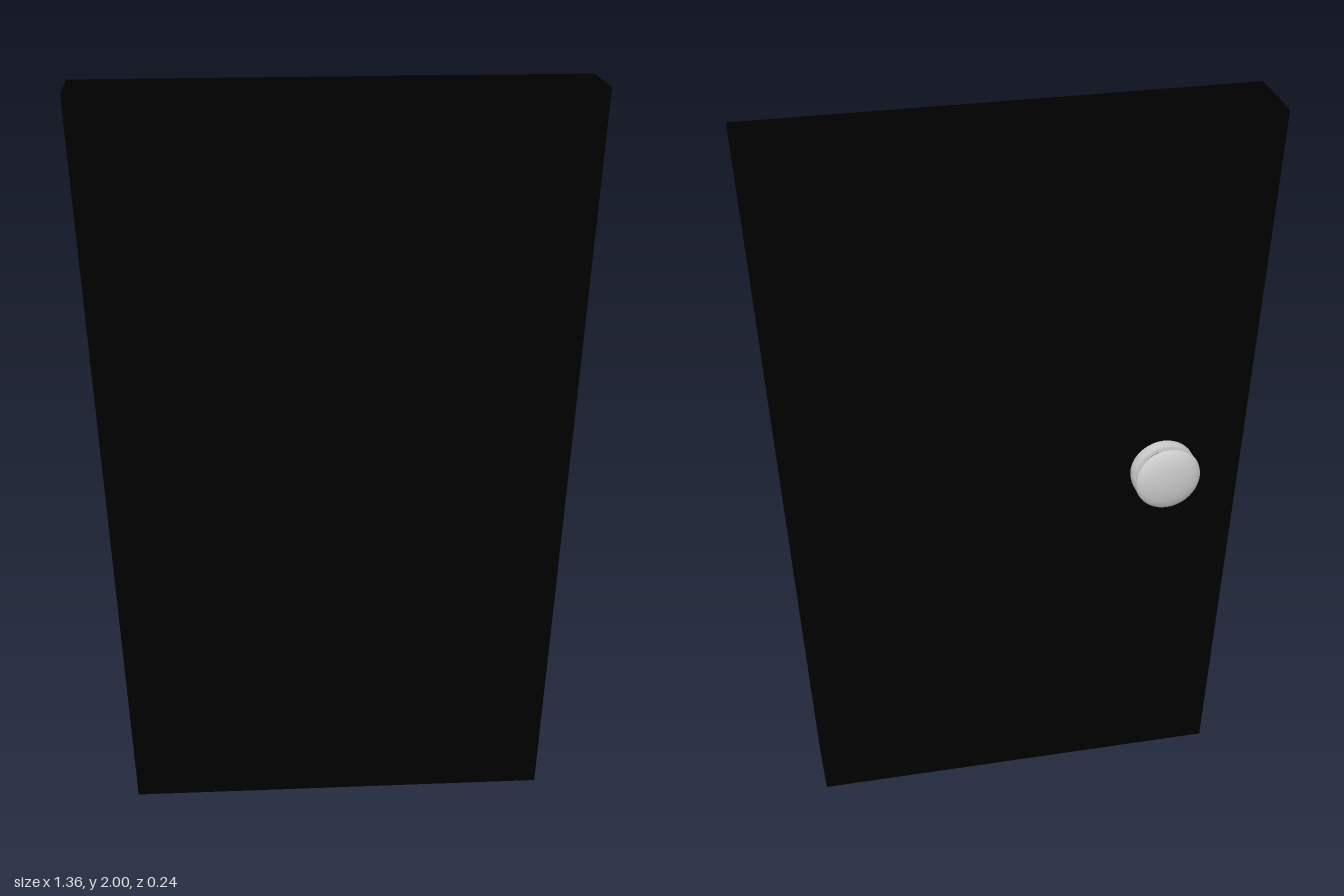
import * as THREE from 'three';

const HEIGHT = 2, WIDTH = 1.36, DEPTH = 0.205, RIM = 0.065, RECESS = 0.04;
const CENTER_Z = 0.0175;

// Narrows a geometry towards the floor, in width and depth alike
function taper(geometry) {
  const g = geometry.index ? geometry.toNonIndexed() : geometry;
  const p = g.attributes.position;
  for (let i = 0; i < p.count; i++) {
    const s = 0.84 + 0.16 * p.getY(i) / HEIGHT;
    p.setX(i, p.getX(i) * s);
    p.setZ(i, p.getZ(i) * s);
  }
  g.computeVertexNormals();
  return g;
}

function rectangle(PathType, x, y0, y1) {
  return new PathType([[-x, y0], [x, y0], [x, y1], [-x, y1]].map(([a, b]) => new THREE.Vector2(a, b)));
}

export function createModel() {
  const group = new THREE.Group();
  const black = new THREE.MeshStandardMaterial({ color: 0x000000 });
  const grey = new THREE.MeshStandardMaterial({ color: 0xcccccc });

  const add = (parent, name, geometry, material) => {
    const mesh = new THREE.Mesh(geometry, material);
    mesh.name = name;
    parent.add(mesh);
    return mesh;
  };

  // Solid slab, flush at the front
  const slab = new THREE.BoxGeometry(WIDTH, HEIGHT, DEPTH - RECESS);
  slab.translate(0, HEIGHT / 2, RECESS / 2);
  add(group, 'doorPanel', taper(slab), black).position.z = CENTER_Z;

  // Raised border around the recessed back
  const outline = rectangle(THREE.Shape, WIDTH / 2, 0, HEIGHT);
  outline.holes.push(rectangle(THREE.Path, WIDTH / 2 - RIM, RIM, HEIGHT - RIM));
  const border = new THREE.ExtrudeGeometry(outline, { depth: RECESS, bevelEnabled: false });
  border.translate(0, 0, -DEPTH / 2);
  add(group, 'backBorder', taper(border), black).position.z = CENTER_Z;

  // Knob: lathes turned so their axis points out of the back
  const knob = new THREE.Group();
  knob.name = 'doorKnob';
  knob.position.set(-0.415, 0.963, -0.035);
  knob.rotation.y = 0.05;
  group.add(knob);

  const lathe = (name, points, material) => {
    const g = new THREE.LatheGeometry(points.map(([r, h]) => new THREE.Vector2(r, h)), 40);
    g.rotateX(-Math.PI / 2);
    add(knob, name, g, material);
  };

  // Back plate, dark neck and domed cap
  lathe('knobPlate', [[0.088, -0.01], [0.092, 0.01], [0.092, 0.032], [0.088, 0.04], [0, 0.042]], grey);
  lathe('knobNeck', [[0.082, 0.035], [0.082, 0.056]], black);
  const cap = [[0, 0.05], [0.086, 0.05]];
  for (let i = 0; i <= 10; i++) {
    const a = i / 10 * Math.PI / 2;
    cap.push([0.093 * Math.cos(a), 0.055 + 0.03 * Math.sin(a)]);
  }
  lathe('knobCap', cap, grey);

  return group;
}
